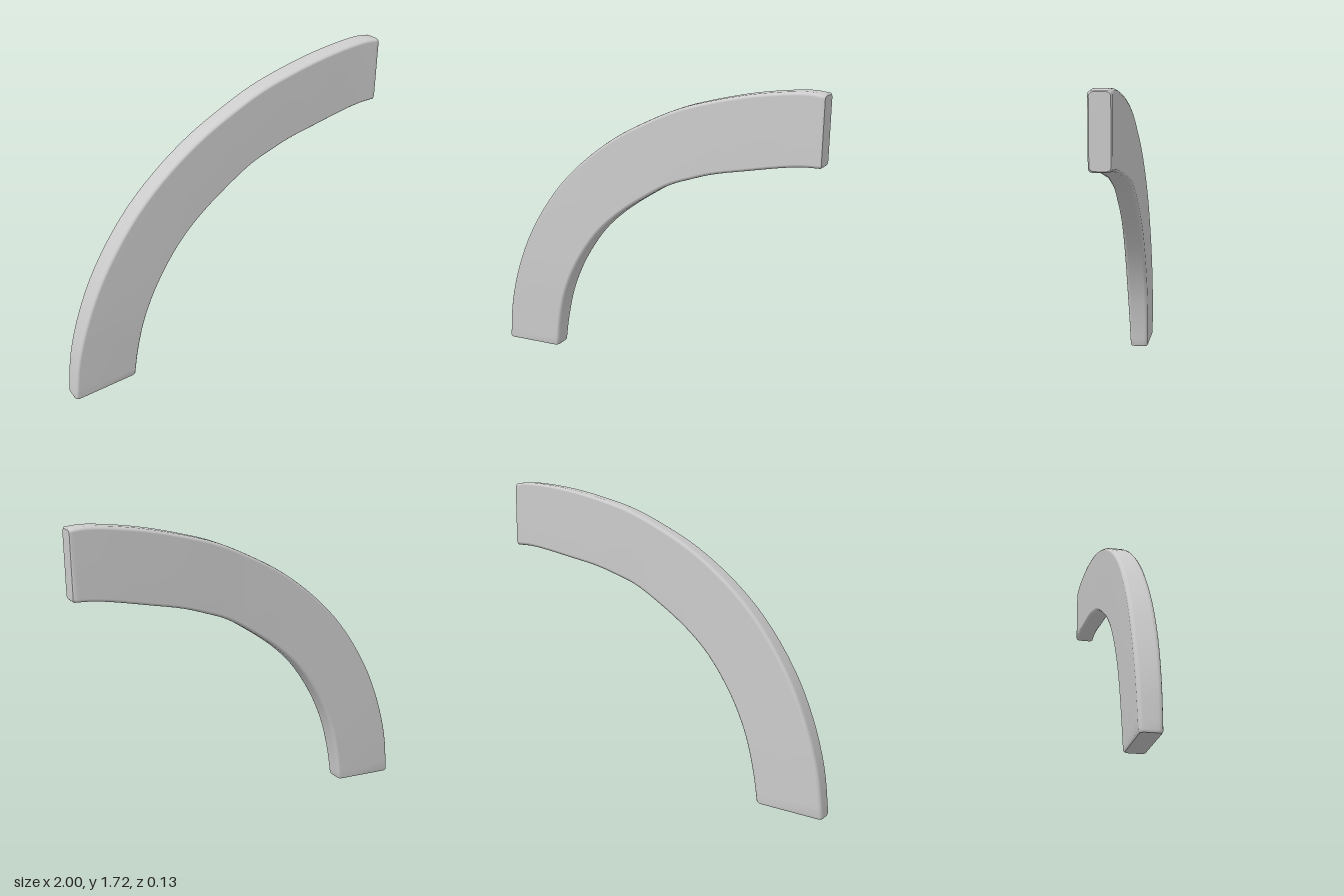
import * as THREE from 'three';

// Matching outer and inner edge points, from the foot to the upper end
const OUTER = [[-1, 0.005], [-0.97, 0.25], [-0.9, 0.5], [-0.79, 0.75], [-0.61, 1.02], [-0.42, 1.215],
  [-0.2, 1.38], [0, 1.49], [0.2, 1.58], [0.4, 1.64], [0.6, 1.687], [0.8, 1.718], [0.92, 1.727], [0.997, 1.72]];
const INNER = [[-0.625, 0.03], [-0.6, 0.2], [-0.55, 0.4], [-0.46, 0.6], [-0.32, 0.805], [-0.18, 0.94],
  [0, 1.07], [0.15, 1.16], [0.28, 1.21], [0.4, 1.25], [0.6, 1.295], [0.8, 1.337], [0.9, 1.352], [0.997, 1.357]];
// Front and back depth along the arch
const FRONT = [0.05, 0.056, 0.062, 0.063, 0.06, 0.056, 0.054, 0.052, 0.051, 0.05, 0.05, 0.049, 0.05, 0.052];
const BACK = [-0.059, -0.062, -0.063, -0.062, -0.061, -0.06, -0.06, -0.06, -0.062, -0.064, -0.064, -0.063, -0.061, -0.059];

const curve = (pts, z) => new THREE.CatmullRomCurve3(pts.map(([x, y], i) => new THREE.Vector3(x, y, z[i])));

// Rounded rectangle between the outer and inner edges, as a closed ring
function section(o, n, shrink) {
  const across = new THREE.Vector3(o.x - n.x, o.y - n.y, 0);
  const half = across.length() / 2 - shrink;
  across.normalize();
  const cx = (o.x + n.x) / 2, cy = (o.y + n.y) / 2;
  const cz = (o.z + n.z) / 2, depth = (o.z - n.z) / 2 - shrink;
  const ring = [], rw = 0.018, rz = 0.022;
  for (let q = 0; q < 4; q++) {
    const su = q === 0 || q === 3 ? 1 : -1, sz = q < 2 ? 1 : -1;
    for (let k = 0; k <= 3; k++) {
      const a = (q + k / 3) * Math.PI / 2;
      const u = su * (half - rw) + Math.cos(a) * rw;
      const z = sz * (depth - rz) + Math.sin(a) * rz;
      ring.push(new THREE.Vector3(cx + across.x * u, cy + across.y * u, cz + z));
    }
  }
  return ring;
}

function archGeometry() {
  const outer = curve(OUTER, FRONT), inner = curve(INNER, BACK);
  const steps = 52, rings = [];
  const at = (t, shrink) => section(outer.getPoint(t), inner.getPoint(t), shrink);
  rings.push(at(0, 0.006));
  for (let i = 0; i <= steps; i++) rings.push(at(THREE.MathUtils.lerp(0.004, 0.994, i / steps), 0));
  rings.push(at(1, 0.006));

  const pos = [], idx = [], m = rings[0].length;
  rings.forEach(r => r.forEach(p => pos.push(p.x, p.y, p.z)));
  for (let i = 0; i < rings.length - 1; i++) {
    for (let j = 0; j < m; j++) {
      const a = i * m + j, b = i * m + (j + 1) % m;
      idx.push(a, b, b + m, a, b + m, a + m);
    }
  }
  // Flat end caps with their own vertices for sharp edges
  [[rings[0], true], [rings[rings.length - 1], false]].forEach(([ring, start]) => {
    const base = pos.length / 3;
    const c = ring.reduce((s, p) => s.add(p), new THREE.Vector3()).divideScalar(m);
    [c, ...ring].forEach(p => pos.push(p.x, p.y, p.z));
    for (let j = 0; j < m; j++) {
      const a = base + 1 + j, b = base + 1 + (j + 1) % m;
      idx.push(base, start ? b : a, start ? a : b);
    }
  });
  const geo = new THREE.BufferGeometry();
  geo.setAttribute('position', new THREE.Float32BufferAttribute(pos, 3));
  geo.setIndex(idx);
  geo.computeVertexNormals();
  return geo;
}

export function createModel() {
  const group = new THREE.Group();
  group.name = 'curvedArch';
  const arch = new THREE.Mesh(archGeometry(), new THREE.MeshStandardMaterial({ color: 0xcccccc }));
  arch.name = 'archSegment';
  group.add(arch);
  return group;
}
